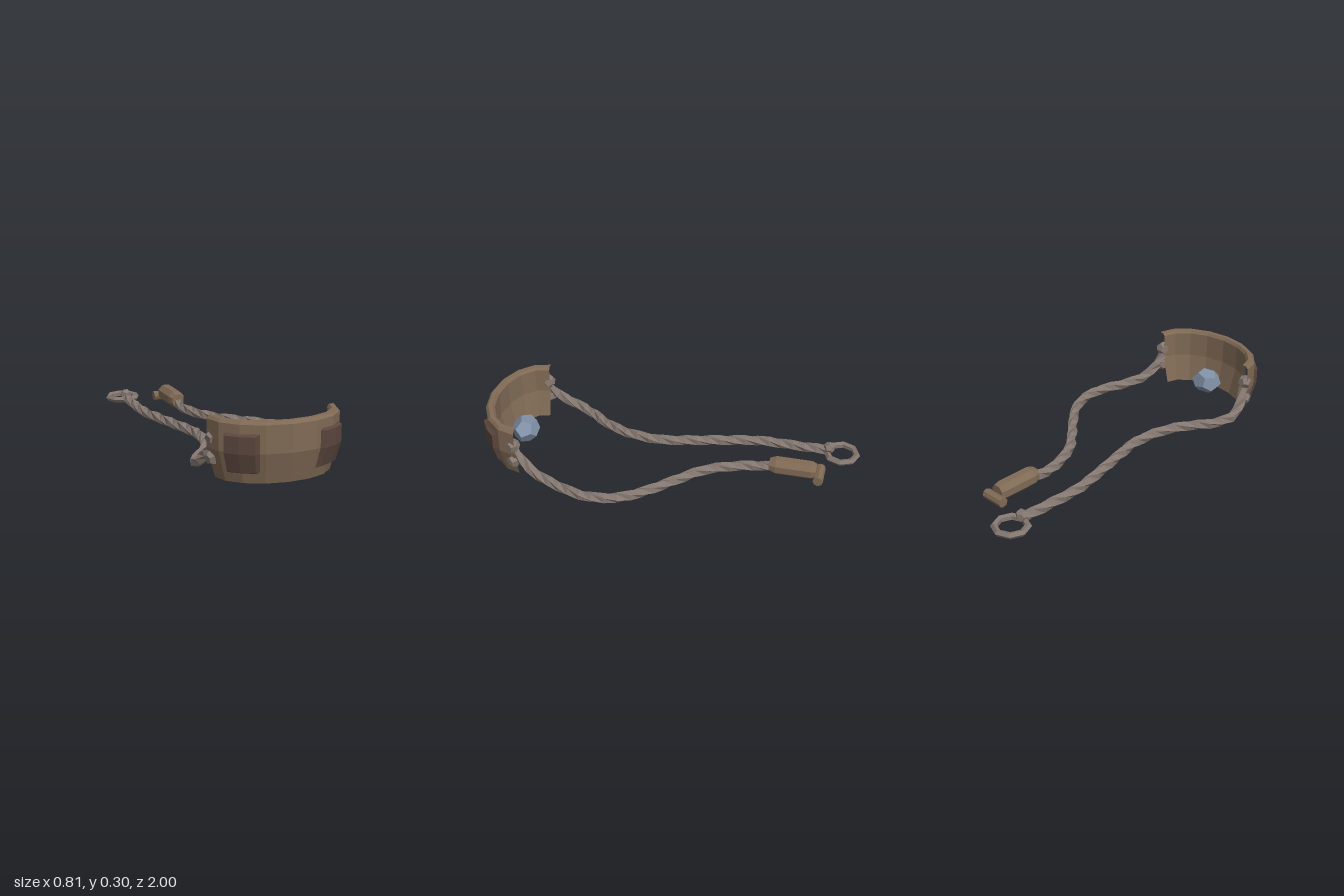
import * as THREE from 'three';

const material = (name, color) => {
  const m = new THREE.MeshStandardMaterial({ color, flatShading: true });
  m.name = name;
  return m;
};

// Surface through a rows x columns grid of points; faces point along (di x dj)
function gridGeometry(ni, nj, point, closeI = false, closeJ = false, extraQuads = []) {
  const pos = [], index = [];
  const id = (i, j) => (i % ni) * nj + (j % nj);
  const quad = (a, b, c, d) => index.push(a, b, c, a, c, d);
  for (let i = 0; i < ni; i++) for (let j = 0; j < nj; j++) pos.push(...point(i, j).toArray());
  for (let i = 0; i < ni - (closeI ? 0 : 1); i++)
    for (let j = 0; j < nj - (closeJ ? 0 : 1); j++)
      quad(id(i, j), id(i + 1, j), id(i + 1, j + 1), id(i, j + 1));
  extraQuads.forEach(q => quad(...q));
  const g = new THREE.BufferGeometry();
  g.setAttribute('position', new THREE.Float32BufferAttribute(pos, 3));
  g.setIndex(index);
  const flat = g.toNonIndexed();
  flat.computeVertexNormals();
  return flat;
}

const CX = -0.045, CZ = 0.755;

// Point on the pouch's half ellipse, moved inward by d
const pouchPoint = (angle, y, d) => new THREE.Vector3(
  CX + (0.33 - d) * Math.sin(angle), y, CZ + (0.24 - d) * Math.cos(angle));

// Lower half of the pouch wall leans inward
const lean = y => Math.max(0, 0.15 - y) / 0.15 * 0.042;

function pouchGeometry() {
  const section = [[0.042, 0], [0, 0.15], [0, 0.285], [0.013, 0.3],
    [0.037, 0.3], [0.048, 0.285], [0.048, 0.15], [0.082, 0]];
  const n = 9, m = section.length, caps = [];
  for (const [a, b, c, d] of [[0, 1, 6, 7], [1, 2, 5, 6], [2, 3, 4, 5]]) {
    caps.push([d, c, b, a]);
    caps.push([a, b, c, d].map(k => k + (n - 1) * m));
  }
  return gridGeometry(n, m, (i, j) =>
    pouchPoint((i / (n - 1) - 0.5) * Math.PI, section[j][1], section[j][0]), false, true, caps);
}

// Raised bevelled panel following the pouch wall
function patchGeometry(side) {
  let angles = [26, 31, 45, 59, 64].map(a => THREE.MathUtils.degToRad(a) * side);
  if (side < 0) angles = angles.reverse();
  const ys = [0.045, 0.058, 0.15, 0.232, 0.245];
  return gridGeometry(5, 5, (i, j) => {
    const edge = i === 0 || i === 4 || j === 0 || j === 4;
    return pouchPoint(angles[i], ys[j], lean(ys[j]) + (edge ? 0.012 : -0.016));
  });
}

// Five-sided cord twisted along a path
function ropeGeometry(points, radius = 0.028) {
  const curve = new THREE.CatmullRomCurve3(points.map(p => new THREE.Vector3(...p)));
  const length = curve.getLength(), n = Math.round(length / 0.065);
  const { normals, binormals } = curve.computeFrenetFrames(n, false);
  return gridGeometry(5, n + 1, (i, j) => {
    const a = i / 5 * Math.PI * 2 + j / n * length * 9;
    return curve.getPointAt(j / n)
      .addScaledVector(normals[j], radius * Math.cos(a))
      .addScaledVector(binormals[j], radius * Math.sin(a));
  }, true);
}

export function createModel() {
  const group = new THREE.Group();
  const leather = material('brown leather', 0x806a55);
  const darkLeather = material('dark leather', 0x5a463d);
  const cord = material('grey brown cord', 0x847770);
  const stone = material('blue grey stone', 0x8090a6);

  const add = (name, geometry, mat, x = 0, y = 0, z = 0) => {
    const mesh = new THREE.Mesh(geometry, mat);
    mesh.name = name;
    mesh.position.set(x, y, z);
    group.add(mesh);
    return mesh;
  };

  // Pouch and its two panels
  add('pouch', pouchGeometry(), leather);
  add('leftPatch', patchGeometry(1), darkLeather);
  add('rightPatch', patchGeometry(-1), darkLeather);

  // Cords
  add('rightCord', ropeGeometry([[-0.345, 0.16, 0.77], [-0.365, 0.1, 0.72], [-0.385, 0.05, 0.65],
    [-0.345, 0.03, 0.53], [-0.26, 0.028, 0.41], [-0.2, 0.028, 0.27], [-0.18, 0.028, 0.08],
    [-0.21, 0.028, -0.07], [-0.26, 0.028, -0.28], [-0.295, 0.028, -0.45],
    [-0.297, 0.028, -0.65], [-0.295, 0.03, -0.83]]), cord);
  add('leftCord', ropeGeometry([[0.255, 0.16, 0.77], [0.265, 0.1, 0.72], [0.285, 0.05, 0.65],
    [0.325, 0.03, 0.53], [0.37, 0.028, 0.4], [0.378, 0.028, 0.3], [0.35, 0.028, 0.18],
    [0.27, 0.028, 0.06], [0.13, 0.028, -0.09], [0.03, 0.028, -0.2], [-0.03, 0.028, -0.32],
    [-0.068, 0.03, -0.45], [-0.07, 0.045, -0.58]]), cord);

  // Knots on the pouch ends
  for (const [side, x] of [['right', -0.35], ['left', 0.26]])
    for (const y of [0.1, 0.197]) {
      const knot = add(side + 'Knot', new THREE.DodecahedronGeometry(0.038), cord, x, y, 0.77);
      knot.rotation.set(0.3, x * 2, 0.2);
    }

  // Finger ring and its knot
  add('fingerRing', new THREE.TorusGeometry(0.082, 0.018, 5, 8).rotateX(Math.PI / 2), cord,
    -0.295, 0.018, -0.9);
  add('ringKnot', new THREE.DodecahedronGeometry(0.032), cord, -0.295, 0.047, -0.83);

  // Release handle with a cross bar
  const profile = [[0, -0.125], [0.038, -0.125], [0.049, -0.1], [0.049, 0.09], [0.036, 0.125], [0, 0.125]];
  const handle = new THREE.LatheGeometry(profile.map(p => new THREE.Vector2(...p)), 8, Math.PI / 8);
  add('handle', handle.rotateX(Math.PI / 2), leather, -0.07, 0.055, -0.665);
  add('handleBar', new THREE.CylinderGeometry(0.027, 0.027, 0.124, 8).rotateZ(Math.PI / 2), leather,
    -0.07, 0.03, -0.806);

  // Stone lying in the pouch
  const rock = add('stone', new THREE.DodecahedronGeometry(0.09).rotateY(0.4).rotateX(0.3), stone,
    CX, 0.08, 0.81);
  rock.scale.set(1, 0.78, 0.84);

  return group;
}
